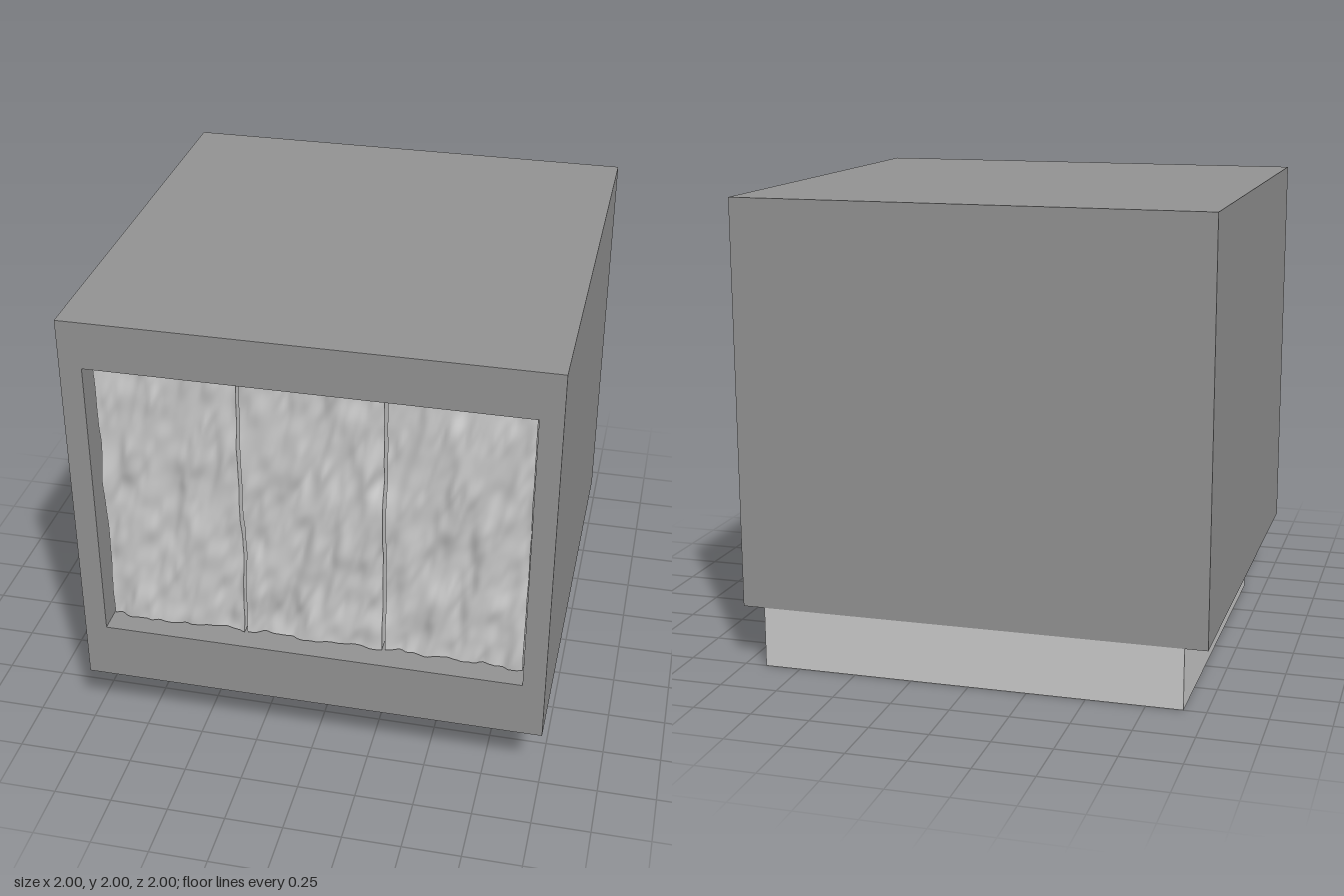
import * as THREE from 'three';
import { mergeGeometries } from 'three/addons/utils/BufferGeometryUtils.js';

const BODY = { bottom: 0.26, top: 2 };
const OPENING = { halfWidth: 0.905, bottom: 0.515, top: 1.795, back: 0.8 };

// Box without its front (+z) face
function openBox(w, h, d) {
  const geo = new THREE.BoxGeometry(w, h, d);
  const index = Array.from(geo.index.array);
  index.splice(24, 6);
  geo.setIndex(index);
  geo.clearGroups();
  return geo;
}

// Smooth repeatable value noise in the range -1..1
function hash(i, j) {
  const s = Math.sin(i * 127.1 + j * 311.7) * 43758.5453;
  return (s - Math.floor(s)) * 2 - 1;
}
function noise(x, y) {
  const i = Math.floor(x), j = Math.floor(y);
  const fade = (t) => t * t * (3 - 2 * t);
  const u = fade(x - i), v = fade(y - j);
  const { lerp } = THREE.MathUtils;
  return lerp(lerp(hash(i, j), hash(i + 1, j), u), lerp(hash(i, j + 1), hash(i + 1, j + 1), u), v);
}

// Slanted, vertically stretched ripples
function ripple(x, y) {
  const s = x - 0.25 * y;
  return 0.02 * noise(s * 17, y * 5) + 0.008 * noise(s * 34 + 40, y * 11);
}

// Closed body with a recessed rectangular opening in the front
function bodyGeometry() {
  const { halfWidth: w, bottom, top, back } = OPENING;
  const height = BODY.top - BODY.bottom;
  const shell = openBox(2, height, 2).translate(0, BODY.bottom + height / 2, 0);

  const outline = new THREE.Shape([
    new THREE.Vector2(-1, BODY.bottom), new THREE.Vector2(1, BODY.bottom),
    new THREE.Vector2(1, BODY.top), new THREE.Vector2(-1, BODY.top),
  ]);
  outline.holes.push(new THREE.Path([
    new THREE.Vector2(-w, bottom), new THREE.Vector2(-w, top),
    new THREE.Vector2(w, top), new THREE.Vector2(w, bottom),
  ]));
  const front = new THREE.ShapeGeometry(outline).translate(0, 0, 1);

  // Mirroring turns the box inside out
  const recess = openBox(2 * w, top - bottom, 1 - back).scale(-1, 1, 1);
  recess.computeVertexNormals();
  recess.translate(0, (top + bottom) / 2, (1 + back) / 2);
  return mergeGeometries([shell, front, recess]);
}

// Slab whose front face is displaced into ripples
function panelGeometry(x, y, width, height) {
  const depth = 0.11;
  const geo = new THREE.BoxGeometry(width, height, depth, 48, 72, 1);
  const pos = geo.attributes.position;
  for (let i = 0; i < pos.count; i++) {
    if (pos.getZ(i) > 0) pos.setZ(i, pos.getZ(i) + ripple(pos.getX(i) + x, pos.getY(i) + y));
  }
  geo.computeVertexNormals();
  return geo.translate(x, y, OPENING.back + depth / 2);
}

export function createModel() {
  const model = new THREE.Group();
  const light = new THREE.MeshStandardMaterial({ color: 0xcccccc });
  const dark = new THREE.MeshStandardMaterial({ color: 0x939393 });

  const add = (name, geometry, material) => {
    const mesh = new THREE.Mesh(geometry, material);
    mesh.name = name;
    model.add(mesh);
  };

  add('body', bodyGeometry(), dark);

  // Plinth, flush with the back and set in from the front and sides
  add('plinth', new THREE.BoxGeometry(1.81, BODY.bottom, 1.6).translate(0, BODY.bottom / 2, -0.2), light);

  // Three rippled panels side by side in the opening
  ['rightPanel', 'middlePanel', 'leftPanel'].forEach((name, i) => {
    add(name, panelGeometry((i - 1) * 0.6, 1.157, 0.587, 1.256), light);
  });

  return model;
}
